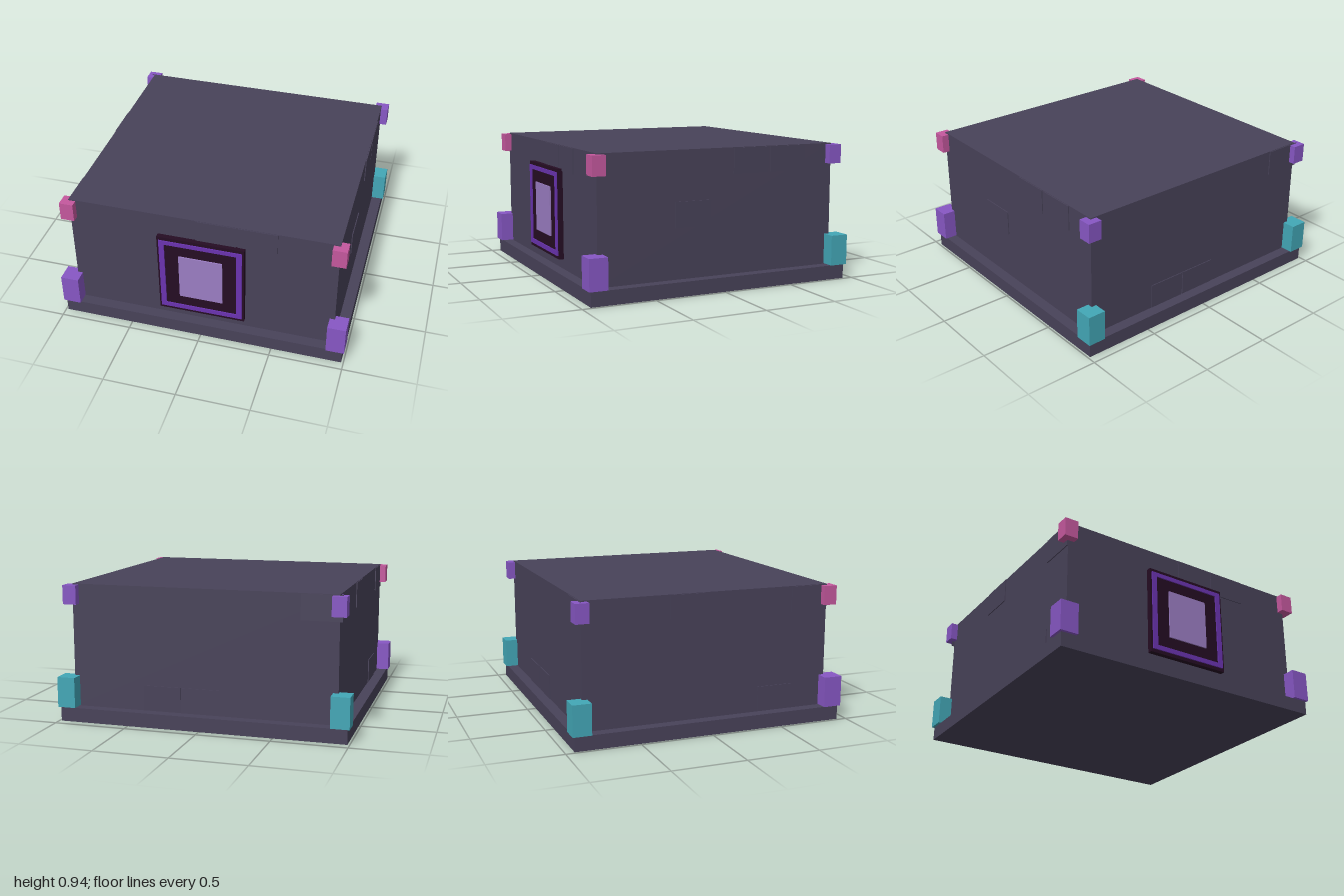
import * as THREE from 'three';

const mat = (name, color) => {
  const m = new THREE.MeshStandardMaterial({ color });
  m.name = name;
  return m;
};

export function createModel() {
  const model = new THREE.Group();
  model.name = 'house';

  const stone = mat('slate stone', 0x484259);
  const purple = mat('purple', 0x8757c4);
  const pink = mat('pink', 0xc5589e);
  const teal = mat('teal', 0x43a7b7);
  const dark = mat('dark wood', 0x250d23);
  const violet = mat('violet trim', 0x6a33b0);
  const lilac = mat('lilac pane', 0x9b7dc3);

  // Box given by its extents on each axis
  const box = (name, material, [x0, x1], [y0, y1], [z0, z1], parent = model) => {
    const mesh = new THREE.Mesh(new THREE.BoxGeometry(x1 - x0, y1 - y0, z1 - z0), material);
    mesh.position.set((x0 + x1) / 2, (y0 + y1) / 2, (z0 + z1) / 2);
    mesh.name = name;
    parent.add(mesh);
  };

  // Plinth and walls
  const W = 0.91, D = 0.863;
  box('plinth', stone, [-0.985, 0.985], [0, 0.097], [-0.938, 0.938]);
  box('walls', stone, [-W, W], [0.097, 0.938], [-D, D]);

  // Corner blocks: large ones at the foot, small ones at the top
  const span = (side, a, b) => (side > 0 ? [a, b] : [-b, -a]);
  for (const sx of [-1, 1]) {
    for (const sz of [-1, 1]) {
      box('lowerCornerBlock', sz > 0 ? purple : teal,
        span(sx, 0.875, 1), [0.1, 0.308], span(sz, 0.827, 0.953));
      box('upperCornerBlock', sz > 0 ? pink : purple,
        span(sx, 0.865, 0.96), [0.802, 0.931], span(sz, 0.82, 0.912));
    }
  }

  // Square window on the front, built up in layers
  const win = new THREE.Group();
  win.name = 'window';
  model.add(win);
  box('windowFrame', dark, [-0.298, 0.298], [0.165, 0.781], [D, 0.897], win);
  const trim = new THREE.Shape();
  const rect = (path, x, y0, y1) =>
    path.moveTo(-x, y0).lineTo(x, y0).lineTo(x, y1).lineTo(-x, y1).closePath();
  rect(trim, 0.284, 0.188, 0.757);
  const hole = new THREE.Path();
  rect(hole, 0.247, 0.22, 0.728);
  trim.holes.push(hole);
  const trimMesh = new THREE.Mesh(
    new THREE.ExtrudeGeometry(trim, { depth: 0.008, bevelEnabled: false }), violet);
  trimMesh.position.z = 0.897;
  trimMesh.name = 'windowTrim';
  win.add(trimMesh);
  box('windowPane', lilac, [-0.15, 0.15], [0.302, 0.645], [0.897, 0.906], win);

  // Thin bricks scattered on the walls
  const T = 0.006, high = [0.765, 0.935], low = [0.1, 0.27];
  const front = [[[-0.037, 0.235], high], [[0.245, 0.51], high]];
  const back = [[[0.145, 0.41], low], [[-0.13, 0.135], low], [[-0.93, -0.66], high]];
  const left = [[[-0.36, -0.1], high], [[-0.645, -0.38], high], [[0.065, 0.325], [0.435, 0.605]]];
  const right = [[[0.6, D], high], [[-0.27, -0.005], high], [[0.36, 0.62], low]];
  for (const [x, y] of front) box('frontBrick', stone, x, y, [D, D + T]);
  for (const [x, y] of back) box('backBrick', stone, x, y, [-D - T, -D]);
  for (const [z, y] of left) box('leftBrick', stone, [W, W + T], y, z);
  for (const [z, y] of right) box('rightBrick', stone, [-W - T, -W], y, z);

  return model;
}
